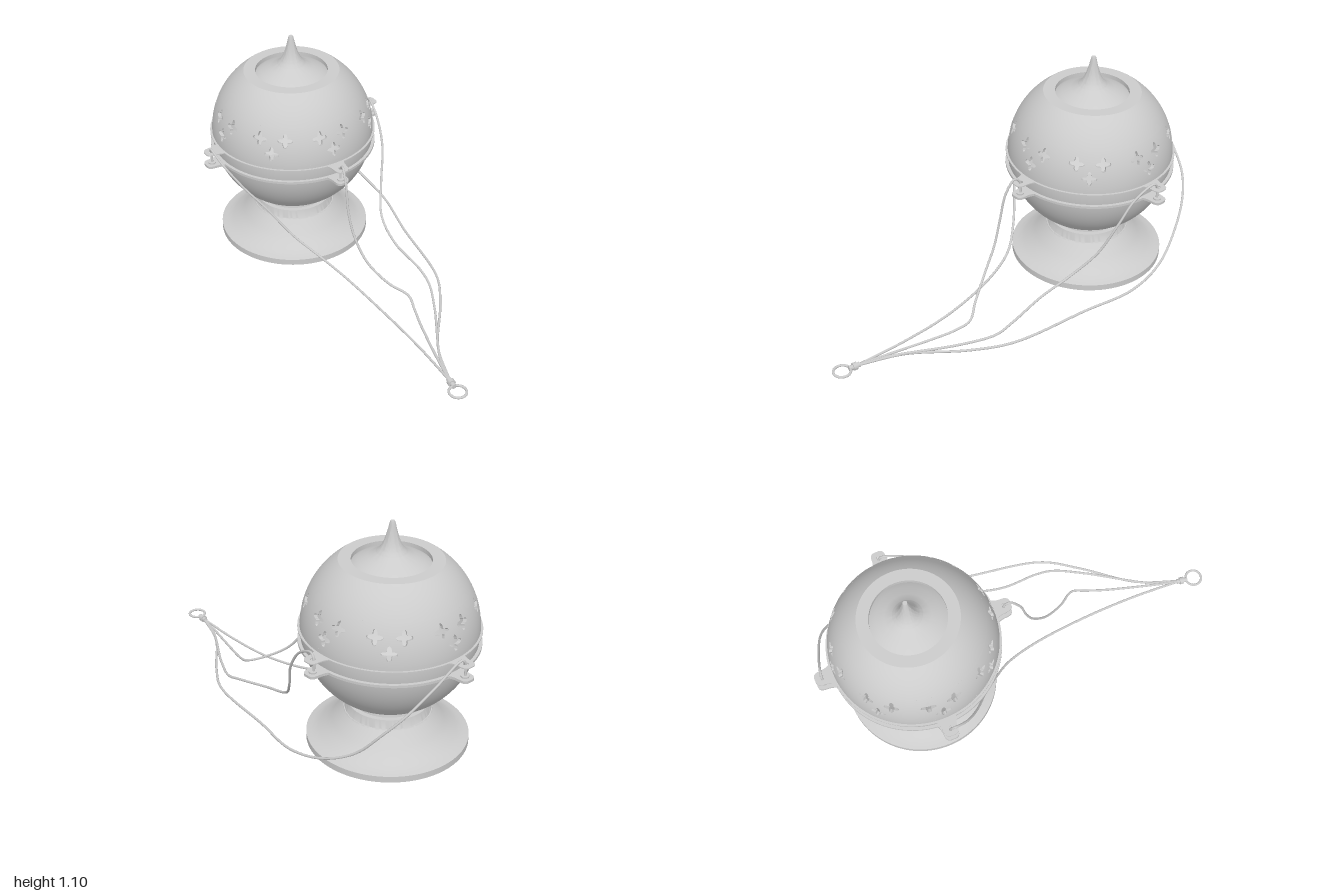
import * as THREE from 'three';
import { mergeGeometries, toCreasedNormals } from 'three/addons/utils/BufferGeometryUtils.js';

const R = 0.396, CY = 0.6, WALL = 0.018, SEG = 128;
const DEG = Math.PI / 180;
const metal = new THREE.MeshStandardMaterial({ color: 0xcccccc, side: THREE.DoubleSide });

function add(parent, name, geometry) {
  const mesh = new THREE.Mesh(geometry, metal);
  mesh.name = name;
  parent.add(mesh);
  return mesh;
}

function lathe(points, segments = SEG) {
  const profile = points.map(([r, y]) => new THREE.Vector2(r, y));
  return toCreasedNormals(new THREE.LatheGeometry(profile, segments), 0.5);
}

// Profile points on a circle arc between two latitudes
function arc(radius, from, to, steps) {
  return Array.from({ length: steps + 1 }, (_, i) => {
    const a = (from + (to - from) * i / steps) * DEG;
    return [radius * Math.cos(a), CY + radius * Math.sin(a)];
  });
}

// Splits every triangle in four, repeatedly
function subdivide(positions, levels) {
  for (; levels > 0; levels--) {
    const out = [];
    for (let i = 0; i < positions.length; i += 9) {
      const [a, b, c] = [0, 3, 6].map(k => positions.slice(i + k, i + k + 3));
      const mid = (p, q) => [0, 1, 2].map(k => (p[k] + q[k]) / 2);
      const ab = mid(a, b), bc = mid(b, c), ca = mid(c, a);
      out.push(...a, ...ab, ...ca, ...ab, ...b, ...bc, ...ca, ...bc, ...c, ...ab, ...bc, ...ca);
    }
    positions = out;
  }
  return positions;
}

// One 45 degree sector of the pierced band: a flat plate in (angle, latitude, depth), wrapped on the sphere
function piercedSector(centre, low, high) {
  const half = 22.5, outline = [];
  for (let i = 0; i < 4; i++) outline.push(new THREE.Vector2(-half + i * half / 2, low));
  for (let i = 0; i < 4; i++) outline.push(new THREE.Vector2(half, low + (high - low) * i / 4));
  for (let i = 0; i < 4; i++) outline.push(new THREE.Vector2(half - i * half / 2, high));
  for (let i = 0; i < 4; i++) outline.push(new THREE.Vector2(-half, high - (high - low) * i / 4));
  const shape = new THREE.Shape(outline);
  for (const [x, y] of [[-9.6, 21.1], [9.6, 21.1], [0, 11.2]]) {
    const pts = [];
    for (let i = 0; i < 28; i++) {
      const a = -i / 28 * 2 * Math.PI, r = 5.3 * (0.72 + 0.28 * Math.cos(4 * a));
      pts.push(new THREE.Vector2(x + r * Math.cos(a) / Math.cos(y * DEG), y + r * Math.sin(a)));
    }
    shape.holes.push(new THREE.Path(pts));
  }
  const plate = new THREE.ExtrudeGeometry(shape, { depth: WALL, bevelEnabled: false });
  const flat = plate.index ? plate.toNonIndexed() : plate;
  const pos = subdivide(Array.from(flat.attributes.position.array), 2);
  const v = new THREE.Vector3(), n = new THREE.Vector3();
  for (let i = 0; i < pos.length; i += 3) {
    const t = (pos[i] + centre) * DEG, lat = pos[i + 1] * DEG, r = R - WALL + pos[i + 2];
    pos[i] = r * Math.sin(t) * Math.cos(lat);
    pos[i + 1] = r * Math.sin(lat);
    pos[i + 2] = r * Math.cos(t) * Math.cos(lat);
  }
  const g = new THREE.BufferGeometry();
  g.setAttribute('position', new THREE.Float32BufferAttribute(pos, 3));
  g.computeVertexNormals();
  // Smooth normals on the inner and outer skins, flat ones on the cut edges
  for (let i = 0; i < pos.length / 3; i++) {
    v.fromBufferAttribute(g.attributes.position, i).normalize();
    n.fromBufferAttribute(g.attributes.normal, i);
    const d = n.dot(v);
    if (Math.abs(d) > 0.8) g.attributes.normal.setXYZ(i, v.x * Math.sign(d), v.y * Math.sign(d), v.z * Math.sign(d));
  }
  return g;
}

// Lug with a hole, pointing along +z from the ring
function lugGeometry(thickness) {
  const s = new THREE.Shape();
  s.moveTo(-0.055, 0.39);
  s.quadraticCurveTo(-0.036, 0.41, -0.035, 0.45);
  s.quadraticCurveTo(-0.034, 0.482, -0.012, 0.484);
  s.lineTo(0.012, 0.484);
  s.quadraticCurveTo(0.034, 0.482, 0.035, 0.45);
  s.quadraticCurveTo(0.036, 0.41, 0.055, 0.39);
  s.closePath();
  s.holes.push(new THREE.Path().absarc(0, 0.45, 0.012, 0, Math.PI * 2, true));
  const g = new THREE.ExtrudeGeometry(s, { depth: thickness, bevelEnabled: false, curveSegments: 10 });
  return g.rotateX(Math.PI / 2).translate(0, thickness / 2, 0);
}

export function createModel() {
  const model = new THREE.Group();
  model.name = 'hangingCenser';
  const vessel = new THREE.Group();
  vessel.name = 'vessel';
  vessel.position.set(-0.003, 0, -0.518);
  model.add(vessel);

  // Hollow flared foot with stepped neck
  const flare = new THREE.SplineCurve([[0.37, 0.05], [0.325, 0.066], [0.275, 0.1], [0.235, 0.14], [0.2, 0.18]]
    .map(p => new THREE.Vector2(...p))).getPoints(20).map(p => [p.x, p.y]);
  const inside = flare.map(([r, y]) => [r - 0.015, y - 0.012]).reverse();
  add(vessel, 'foot', lathe([[0.355, 0.02], [0.37, 0.02], ...flare, [0.196, 0.18], [0.186, 0.22],
    [0.165, 0.22], [0.155, 0.278], [0.14, 0.278], [0.15, 0.208], [0.172, 0.208], [0.18, 0.168], ...inside, [0.355, 0.02]]));

  // Hollow bowl, pierced band and crown
  const low = 3, high = 30, cut = 54.3;
  add(vessel, 'bowl', lathe([[0, 0.278], ...arc(R, -cut, low, 32), ...arc(R - WALL, low, -cut + 2, 32), [0, 0.296]]));
  const sectors = [];
  for (let i = 0; i < 8; i++) sectors.push(piercedSector(8.9 + i * 45, low, high));
  add(vessel, 'piercedBand', mergeGeometries(sectors)).position.y = CY;
  add(vessel, 'crown', lathe([...arc(R - WALL, cut - 2, high, 14), ...arc(R, high, cut, 14),
    [0.175, 0.9215], [0.175, 0.9]]));

  // Pointed finial on its dished seat
  const spire = new THREE.SplineCurve([[0.07, 0.957], [0.05, 0.98], [0.034, 1.013], [0.022, 1.053], [0.013, 1.092]]
    .map(p => new THREE.Vector2(...p))).getPoints(16).map(p => [p.x, p.y]);
  add(vessel, 'finial', lathe([[0.176, 0.9], [0.145, 0.921], [0.105, 0.938], ...spire, [0.01, 1.102], [0, 1.104]], 64));

  // Rim rings with four lugs each
  for (const [name, y, t] of [['lidRing', 0.6, 0.005], ['bowlRing', 0.533, 0.012]]) {
    add(vessel, name, lathe([[0.38, y - t / 2], [0.406, y - t / 2], [0.406, y + t / 2], [0.38, y + t / 2]]));
    for (let i = 0; i < 4; i++) {
      const lug = add(vessel, name + 'Lug', lugGeometry(t));
      lug.position.y = y;
      lug.rotation.y = (8.9 + i * 90) * DEG;
    }
  }
  // Wire stops under the lower lugs
  for (let i = 0; i < 4; i++) {
    const a = (8.9 + i * 90) * DEG;
    add(vessel, 'wireStop', new THREE.CylinderGeometry(0.018, 0.018, 0.026, 20))
      .position.set(0.45 * Math.sin(a), 0.533, 0.45 * Math.cos(a));
  }

  // Wires rising through the lugs and running down to the handle
  const end = [[0.19, 0.018, 0.88]];
  const wires = {
    frontWire: [[0.066, 0.53, -0.075], [0.066, 0.6, -0.073], [0.064, 0.627, -0.045], [0.06, 0.56, 0.002], [0.06, 0.42, 0.035],
      [0.075, 0.3, 0.075], [0.11, 0.19, 0.15], [0.18, 0.11, 0.245], [0.25, 0.07, 0.32], [0.245, 0.045, 0.4],
      [0.23, 0.032, 0.5], [0.197, 0.02, 0.78]],
    rightWire: [[0.438, 0.53, -0.588], [0.437, 0.6, -0.588], [0.436, 0.622, -0.57], [0.433, 0.57, -0.465], [0.425, 0.455, -0.38],
      [0.385, 0.3, -0.3], [0.337, 0.185, -0.185], [0.335, 0.125, -0.02], [0.38, 0.085, 0.17], [0.387, 0.06, 0.26],
      [0.34, 0.04, 0.42], [0.212, 0.02, 0.74]],
    backWire: [[-0.073, 0.53, -0.963], [-0.073, 0.6, -0.963], [-0.055, 0.625, -0.963], [0.08, 0.53, -0.958], [0.205, 0.425, -0.935],
      [0.285, 0.33, -0.88], [0.355, 0.205, -0.78], [0.43, 0.125, -0.64], [0.476, 0.08, -0.45], [0.465, 0.06, -0.185],
      [0.457, 0.04, 0.21], [0.38, 0.025, 0.4], [0.24, 0.02, 0.66]],
    leftWire: [[-0.447, 0.53, -0.448], [-0.45, 0.6, -0.448], [-0.457, 0.63, -0.43], [-0.425, 0.575, -0.365], [-0.345, 0.46, -0.3],
      [-0.257, 0.353, -0.25], [-0.14, 0.2, -0.17], [-0.05, 0.12, -0.08], [0.03, 0.07, 0.08], [0.11, 0.03, 0.344],
      [0.16, 0.02, 0.61]],
  };
  for (const [name, pts] of Object.entries(wires)) {
    const curve = new THREE.CatmullRomCurve3([...pts, ...end].map(p => new THREE.Vector3(...p)));
    add(model, name, new THREE.TubeGeometry(curve, 120, 0.0058, 8));
  }

  // Handle: collar and pull ring
  const collar = lathe([[0, 0], [0.012, 0], [0.012, 0.015], [0.018, 0.015], [0.018, 0.035], [0.012, 0.035],
    [0.012, 0.055], [0, 0.055]], 24);
  add(model, 'handleCollar', collar.rotateX(Math.PI / 2)).position.set(0.19, 0.018, 0.865);
  add(model, 'handleRing', new THREE.TorusGeometry(0.04, 0.006, 10, 40).rotateX(Math.PI / 2)).position.set(0.19, 0.018, 0.954);
  return model;
}
